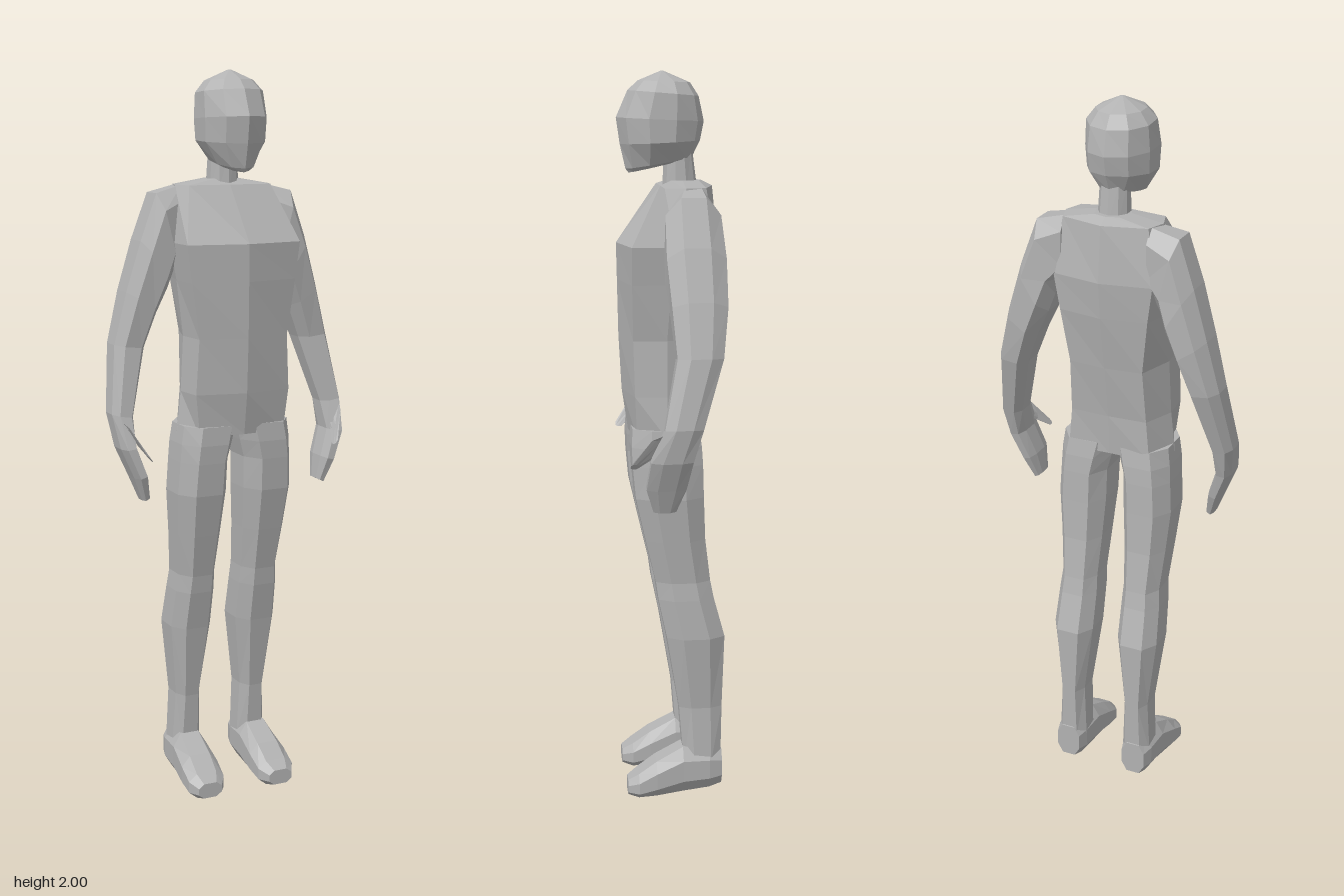
import * as THREE from 'three';

const skin = new THREE.MeshStandardMaterial({ color: 0xb2b2b2, flatShading: true });
skin.name = 'plain grey';

// Skin a list of equal-length point rings, closing both ends with fans.
function loft(name, rings) {
  const n = rings[0].length, pos = [], idx = [];
  rings.forEach(r => r.forEach(p => pos.push(...p)));
  for (let i = 0; i < rings.length - 1; i++) {
    for (let j = 0; j < n; j++) {
      const a = i * n + j, b = i * n + (j + 1) % n;
      idx.push(a, b, b + n, a, b + n, a + n);
    }
  }
  [0, rings.length - 1].forEach(k => {
    const r = rings[k], c = pos.length / 3;
    pos.push(...[0, 1, 2].map(d => r.reduce((s, p) => s + p[d], 0) / n));
    for (let j = 0; j < n; j++) {
      const a = k * n + j, b = k * n + (j + 1) % n;
      if (k === 0) idx.push(c, b, a); else idx.push(c, a, b);
    }
  });
  // Turn the faces outward when the signed volume is negative.
  const v = i => new THREE.Vector3().fromArray(pos, i * 3);
  let volume = 0;
  for (let i = 0; i < idx.length; i += 3) {
    volume += v(idx[i]).dot(v(idx[i + 1]).cross(v(idx[i + 2])));
  }
  if (volume < 0) idx.reverse();
  let g = new THREE.BufferGeometry();
  g.setAttribute('position', new THREE.Float32BufferAttribute(pos, 3));
  g.setIndex(idx);
  g = g.toNonIndexed();
  g.computeVertexNormals();
  const mesh = new THREE.Mesh(g, skin);
  mesh.name = name;
  return mesh;
}

// Octagon with cut corners, in the range -1 to 1.
const octagon = [[1, .45], [.55, 1], [-.55, 1], [-1, .45], [-1, -.45], [-.55, -1], [.55, -1], [1, -.45]];
const mix = (a, b, t) => a + (b - a) * (t + 1) / 2;

// Ring between an inner and an outer point, spanning z from back to front.
const limbRing = (side, [ox, oy, ix, iy, zf, zb]) => octagon.map(([s, t]) =>
  [side * mix(ix, ox, s), mix(iy, oy, s), mix(zb, zf, t)]);

// Upright ring for the foot at a given z.
const footRing = (side, [z, x0, x1, y0, y1]) => octagon.map(([s, t]) =>
  [side * mix(x0, x1, s), mix(y0, y1, t), z]);

// Ten-sided ring whose height may differ from front to back.
const ovalRing = ([yf, yb, w, zf, zb]) => Array.from({ length: 10 }, (_, i) => {
  const a = i / 10 * Math.PI * 2, c = Math.cos(a);
  return [w * Math.sin(a) * 1.05, mix(yb, yf, c), mix(zb, zf, c)];
});

// Symmetric torso ring: front ridge, front corner, side, back corner, spine.
const torsoRing = ([y, zf, fx, fz, sx, sz, bx, bz, zb]) => [
  [0, y, zf], [fx, y, fz], [sx, y, sz], [bx, y, bz],
  [0, y, zb], [-bx, y, bz], [-sx, y, sz], [-fx, y, fz],
];

function createArm(side) {
  const arm = new THREE.Group();
  arm.name = side > 0 ? 'leftArm' : 'rightArm';
  const rows = [
    [.12, 1.70, .12, 1.53, 0, -.10],
    [.20, 1.68, .15, 1.48, .03, -.115],
    [.245, 1.555, .168, 1.43, .03, -.125],
    [.285, 1.42, .20, 1.36, .02, -.125],
    [.32, 1.28, .235, 1.27, .01, -.11],
    [.345, 1.10, .285, 1.09, .045, -.055],
  ];
  arm.add(loft('armSleeve', rows.map(r => limbRing(side, r))));
  // Mitten hand curling inward and forward
  arm.add(loft('hand', [
    [.345, 1.10, .285, 1.09, .045, -.055],
    [.333, 1.01, .29, 1.015, .08, -.03],
    [.30, .93, .265, .94, .09, -.015],
    [.275, .865, .255, .875, .07, .01],
  ].map(r => limbRing(side, r))));
  arm.add(loft('thumb', [
    [.335, 1.09, .30, 1.05, .05, .01],
    [.318, 1.07, .292, 1.02, .085, .06],
    [.285, 1.0, .272, .985, .13, .11],
  ].map(r => limbRing(side, r))));
  return arm;
}

function createLeg(side) {
  const leg = new THREE.Group();
  leg.name = side > 0 ? 'leftLeg' : 'rightLeg';
  // Height, inner x, outer x, front z, back z
  const rows = [
    [1.06, 0, .155, .112, -.068],
    [1.01, .012, .162, .115, -.075],
    [.96, .025, .165, .113, -.078],
    [.87, .027, .17, .105, -.08],
    [.75, .035, .16, .078, -.085],
    [.63, .042, .15, .05, -.10],
    [.58, .04, .155, .043, -.11],
    [.47, .04, .16, .02, -.14],
    [.26, .065, .137, -.015, -.135],
    [.10, .06, .145, -.028, -.132],
  ];
  leg.add(loft('legColumn', rows.map(([y, x0, x1, zf, zb]) =>
    limbRing(side, [x1, y, x0, y, zf, zb]))));
  // Wedge foot with a blunt toe
  leg.add(loft('foot', [
    [-.135, .07, .14, .03, .13],
    [-.10, .06, .15, .02, .14],
    [-.025, .055, .155, .012, .145],
    [.05, .052, .162, .003, .105],
    [.10, .055, .162, 0, .07],
    [.13, .075, .145, .008, .05],
  ].map(r => footRing(side, r))));
  return leg;
}

export function createModel() {
  const model = new THREE.Group();
  model.name = 'mannequin';

  // Torso with a forward chest ridge
  model.add(loft('torso', [
    [1.715, 0, .035, 0, .05, -.03, .035, -.075, -.085],
    [1.70, .025, .12, .025, .138, -.03, .12, -.085, -.115],
    [1.55, .145, .165, .115, .165, 0, .14, -.105, -.13],
    [1.45, .143, .152, .114, .152, .01, .125, -.10, -.12],
    [1.30, .14, .13, .11, .138, .02, .105, -.085, -.095],
    [1.15, .132, .138, .106, .146, .02, .11, -.068, -.073],
    [1.035, .115, .125, .10, .159, .02, .12, -.068, -.065],
  ].map(torsoRing)));

  model.add(loft('neck', [
    [1.69, 1.69, .042, .02, -.075],
    [1.78, 1.79, .038, .015, -.062],
  ].map(ovalRing)));

  // Faceted head tapering to the chin
  model.add(loft('head', [
    [2.0, 2.0, .004, .024, .016],
    [1.975, 1.97, .062, .085, -.055],
    [1.95, 1.935, .086, .112, -.078],
    [1.88, 1.87, .09, .143, -.092],
    [1.81, 1.82, .087, .133, -.082],
    [1.745, 1.775, .052, .118, -.06],
    [1.735, 1.77, .034, .110, -.045],
  ].map(ovalRing)));

  for (const side of [1, -1]) model.add(createArm(side), createLeg(side));
  return model;
}
